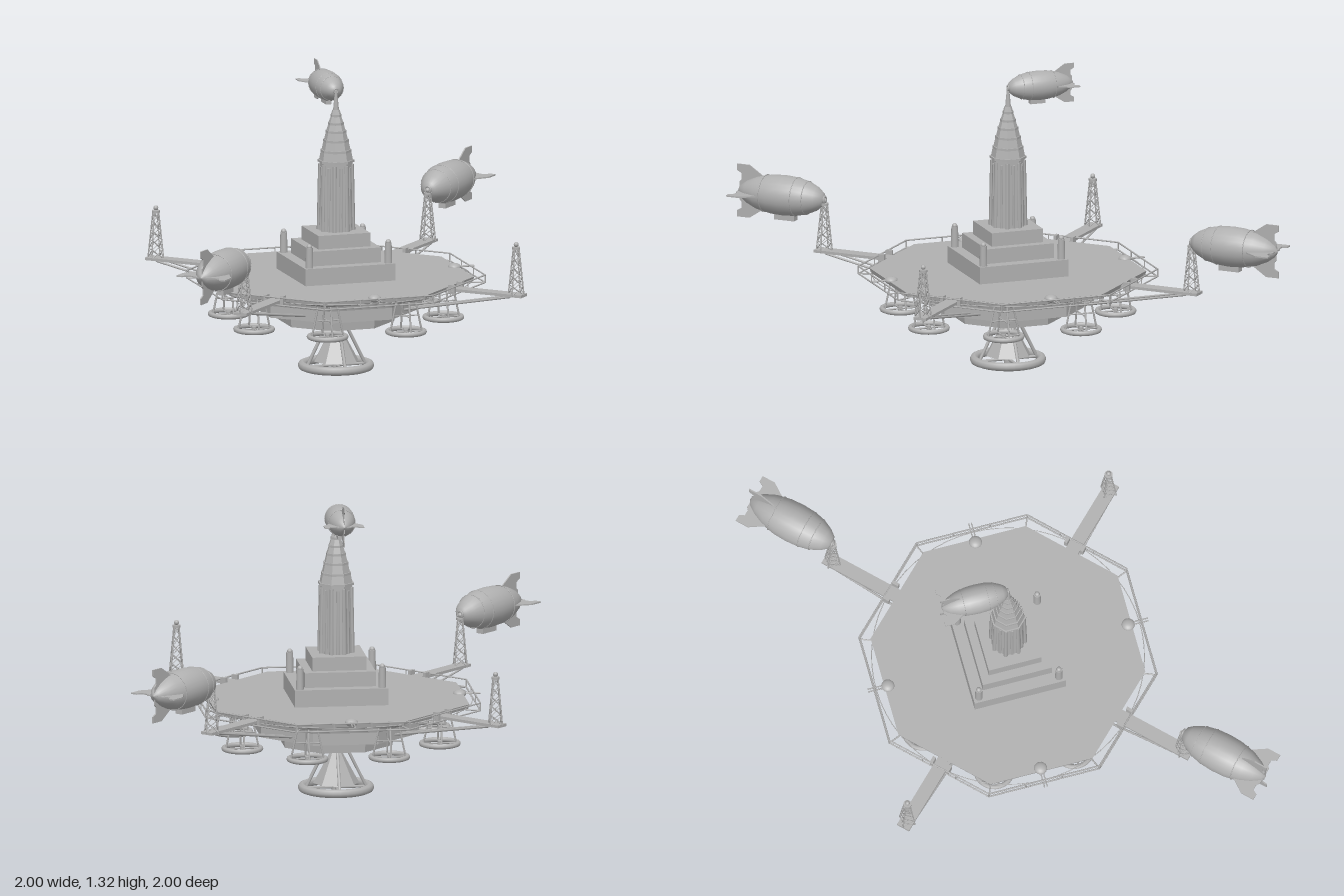
import * as THREE from 'three';

const stone = new THREE.MeshStandardMaterial({ color: 0xb0b0b0 });
stone.name = 'stone grey';
const V = (x, y, z) => new THREE.Vector3(x, y, z);

function add(parent, name, geo, x = 0, y = 0, z = 0) {
  const mesh = new THREE.Mesh(geo, stone);
  mesh.name = name;
  mesh.position.set(x, y, z);
  parent.add(mesh);
  return mesh;
}

function group(parent, name) {
  const g = new THREE.Group();
  g.name = name;
  parent.add(g);
  return g;
}

function faceted(geo) {
  const flat = geo.toNonIndexed();
  flat.computeVertexNormals();
  return flat;
}

// Octagonal prism with flat sides on the axes, sized by its apothem
function octagon(parent, name, topR, bottomR, y0, y1) {
  const k = 1 / Math.cos(Math.PI / 8);
  const geo = new THREE.CylinderGeometry(topR * k, bottomR * k, y1 - y0, 8, 1, false, Math.PI / 8);
  return add(parent, name, faceted(geo), 0, (y0 + y1) / 2, 0);
}

// Thin bar between two points
function rod(parent, name, a, b, r = 0.004) {
  const dir = b.clone().sub(a);
  const mesh = add(parent, name, new THREE.CylinderGeometry(r, r, dir.length(), 6));
  mesh.position.copy(a).add(b).multiplyScalar(0.5);
  mesh.quaternion.setFromUnitVectors(V(0, 1, 0), dir.normalize());
  return mesh;
}

function box(parent, name, w, y0, y1, d = w, x = 0, z = 0) {
  return add(parent, name, new THREE.BoxGeometry(w, y1 - y0, d), x, (y0 + y1) / 2, z);
}

function ring(parent, name, R, tube, y, segments = 32) {
  const geo = new THREE.TorusGeometry(R, tube, 8, segments).rotateX(Math.PI / 2);
  return add(parent, name, geo, 0, y, 0);
}

// Airship with its nose at the origin and its tail towards -z
function makeAirship(parent, name) {
  const ship = group(parent, name);
  const profile = [[0, 0], [0.03, 0.008], [0.052, 0.035], [0.073, 0.08], [0.084, 0.13], [0.088, 0.19],
    [0.085, 0.25], [0.072, 0.315], [0.05, 0.365], [0.025, 0.4], [0, 0.413]];
  const hull = new THREE.LatheGeometry(profile.map(p => new THREE.Vector2(...p)), 24);
  add(ship, 'envelope', hull.rotateX(-Math.PI / 2));
  for (const [r, s] of [[0.073, 0.08], [0.084, 0.13], [0.0815, 0.28]]) {
    add(ship, 'envelopeSeam', new THREE.TorusGeometry(r, 0.002, 6, 24), 0, 0, -s);
  }
  const outline = [[0.02, 0.27], [0.07, 0.285], [0.118, 0.357], [0.118, 0.417], [0.09, 0.417],
    [0.078, 0.395], [0.05, 0.395], [0.04, 0.405], [0, 0.405]];
  const fin = new THREE.ExtrudeGeometry(new THREE.Shape(outline.map(p => new THREE.Vector2(...p))),
    { depth: 0.006, bevelEnabled: false }).translate(0, 0, -0.003).rotateX(-Math.PI / 2);
  for (let i = 0; i < 4; i++) add(ship, 'tailFin', fin).rotation.z = i * Math.PI / 2;
  box(ship, 'gondola', 0.035, -0.108, -0.075, 0.095, 0, -0.185);
  add(ship, 'noseRing', new THREE.TorusGeometry(0.014, 0.005, 6, 12));
  return ship;
}

// Lift fan: ring, hub, spokes and slanted legs
function makeFan(parent, name, R, tube, y, topR, topY) {
  const fan = group(parent, name);
  ring(fan, 'fanRing', R, tube, y);
  add(fan, 'fanHub', new THREE.CylinderGeometry(R * 0.13, R * 0.13, tube * 2, 10), 0, y, 0);
  for (let i = 0; i < 4; i++) {
    const a = i * Math.PI / 2;
    const c = Math.cos(a), s = Math.sin(a);
    rod(fan, 'fanSpoke', V(0, y, 0), V(R * c, y, R * s), tube * 0.35);
    rod(fan, 'fanLeg', V(topR * c, topY, topR * s), V(R * 0.9 * c, y, R * 0.9 * s), tube * 0.4);
  }
  return fan;
}

function makePlatform(root) {
  const platform = group(root, 'platform');
  octagon(platform, 'deck', 0.555, 0.55, 0.4, 0.42);
  octagon(platform, 'deckUnderside', 0.55, 0.48, 0.38, 0.4);
  octagon(platform, 'upperHullTier', 0.36, 0.345, 0.33, 0.38);
  octagon(platform, 'middleHullTier', 0.345, 0.345, 0.278, 0.33);
  octagon(platform, 'lowerHullTier', 0.24, 0.235, 0.22, 0.278);
  ring(platform, 'deckHoop', 0.592, 0.002, 0.405, 64);

  // Octagonal railing
  const k = 0.6 / Math.cos(Math.PI / 8);
  const at = (i, y, f = 1) => {
    const a = (i + 0.5) * Math.PI / 4;
    return V(k * f * Math.cos(a), y, k * f * Math.sin(a));
  };
  for (let i = 0; i < 8; i++) {
    for (const y of [0.395, 0.428]) rod(platform, 'rail', at(i, y), at(i + 1, y), 0.0035);
    rod(platform, 'railPost', at(i, 0.393), at(i, 0.43), 0.0035);
    rod(platform, 'railBracket', at(i, 0.395), at(i, 0.395, 0.9), 0.0035);
    for (const t of [1 / 3, 2 / 3]) {
      rod(platform, 'railPost', at(i, 0.395).lerp(at(i + 1, 0.395), t), at(i, 0.428).lerp(at(i + 1, 0.428), t), 0.0025);
    }
  }

  // Domed turrets with twin barrels at the middle of each main side
  for (let i = 0; i < 4; i++) {
    const turret = group(platform, 'turret');
    turret.rotation.y = i * Math.PI / 2;
    add(turret, 'turretDome', new THREE.SphereGeometry(0.029, 16, 10).scale(1, 0.6, 1), 0, 0.419, 0.54);
    for (const x of [-0.006, 0.006]) rod(turret, 'barrel', V(x, 0.42, 0.55), V(x, 0.42, 0.63), 0.003);
  }

  // Eight small lift fans and the large central one
  for (let i = 0; i < 8; i++) {
    const a = (i + 0.5) * Math.PI / 4;
    const fan = makeFan(platform, 'liftFan', 0.08, 0.011, 0.24, 0.04, 0.39);
    fan.position.set(0.467 * Math.cos(a), 0, 0.467 * Math.sin(a));
    for (const s of [-1, 1]) rod(fan, 'fanTie', V(-0.058 * (s + 1) / 2, 0.31, 0.058 * (s - 1) / 2),
      V(0.058 * (s + 1) / 2, 0.31, -0.058 * (s - 1) / 2), 0.003);
  }
  const mainFan = makeFan(platform, 'mainFan', 0.147, 0.019, 0.02, 0.048, 0.19);
  add(mainFan, 'fanCone', faceted(new THREE.ConeGeometry(0.1, 0.185, 8)), 0, 0.1325, 0);
}

// Gangway, lattice mast and braces, built along +z then turned to a diagonal
function makeMooring(root, angle) {
  const mooring = group(root, 'mooringArm');
  mooring.rotation.y = angle;
  box(mooring, 'gangway', 0.06, 0.404, 0.416, 0.38, 0, 0.725);
  for (const x of [-0.04, 0.04]) {
    rod(mooring, 'gangwayBrace', V(x * 0.6, 0.404, 0.86), V(x * 0.6, 0.3, 0.34), 0.005);
    box(mooring, 'gateBlock', 0.014, 0.395, 0.435, 0.03, x, 0.585);
  }
  const mast = group(mooring, 'mast');
  mast.position.set(0, 0.412, 0.877);
  mast.rotation.y = Math.PI / 4;
  const corner = (i, t) => {
    const a = (i + 0.5) * Math.PI / 2, r = (0.027 - 0.017 * t) * Math.SQRT2;
    return V(r * Math.cos(a), 0.205 * t, r * Math.sin(a));
  };
  for (let i = 0; i < 4; i++) {
    rod(mast, 'mastLeg', corner(i, 0), corner(i, 1), 0.003);
    for (let j = 0; j < 5; j++) {
      rod(mast, 'mastBrace', corner(i, j / 5), corner(i + 1, (j + 1) / 5), 0.0018);
      rod(mast, 'mastBrace', corner(i + 1, j / 5), corner(i, (j + 1) / 5), 0.0018);
    }
  }
  add(mast, 'mastCap', new THREE.CylinderGeometry(0.018, 0.018, 0.01, 12), 0, 0.206, 0);
  add(mast, 'mastTip', new THREE.SphereGeometry(0.011, 12, 8), 0, 0.222, 0);
}

function makeTower(root) {
  const tower = group(root, 'tower');
  box(tower, 'lowerStep', 0.41, 0.42, 0.495);
  box(tower, 'middleStep', 0.31, 0.495, 0.56);
  box(tower, 'upperStep', 0.236, 0.56, 0.62);
  for (const x of [-0.18, 0.18]) for (const z of [-0.18, 0.18]) {
    add(tower, 'cornerPost', new THREE.CylinderGeometry(0.015, 0.017, 0.09, 12), x, 0.54, z);
    add(tower, 'cornerPostCap', new THREE.SphereGeometry(0.012, 12, 8), x, 0.588, z);
  }
  octagon(tower, 'shaft', 0.066, 0.07, 0.62, 0.925);
  for (let i = 0; i < 8; i++) {
    const a = (i + 0.5) * Math.PI / 4;
    const pier = group(tower, 'pier');
    pier.rotation.y = a;
    rod(pier, 'pierRib', V(0, 0.62, 0.074), V(0, 0.91, 0.068), 0.01);
    rod(pier, 'windowRib', V(0.028, 0.62, 0.064), V(0.028, 0.9, 0.06), 0.005);
    rod(pier, 'windowRib', V(-0.028, 0.62, 0.064), V(-0.028, 0.9, 0.06), 0.005);
  }
  // Stepped spire narrowing to a needle
  const steps = [[0.92, 0.074], [0.965, 0.063], [1.01, 0.052], [1.05, 0.042], [1.085, 0.032], [1.12, 0.022], [1.15, 0.015]];
  for (let i = 0; i < steps.length - 1; i++) {
    const [y, r] = steps[i], [y1, r1] = steps[i + 1];
    octagon(tower, 'spireLedge', r, r, y, y + 0.01);
    octagon(tower, 'spireStep', r1 * 0.98, r * 0.92, y + 0.01, y1);
  }
  add(tower, 'needle', new THREE.CylinderGeometry(0.005, 0.014, 0.09, 8), 0, 1.19, 0);
}

export function createModel() {
  const root = new THREE.Group();
  root.name = 'skyStation';
  makePlatform(root);
  makeTower(root);
  for (let i = 0; i < 4; i++) makeMooring(root, (i + 0.5) * Math.PI / 2);

  // Two large moored airships and a smaller one at the spire
  for (const s of [-1, 1]) {
    const ship = makeAirship(root, 'mooredAirship');
    ship.position.set(0.62 * s, 0.637, -0.62 * s);
    ship.rotation.y = s > 0 ? -Math.PI / 4 : Math.PI * 0.75;
  }
  const small = makeAirship(root, 'spireAirship');
  small.position.set(0, 1.232, 0);
  small.scale.setScalar(0.73);
  return root;
}
